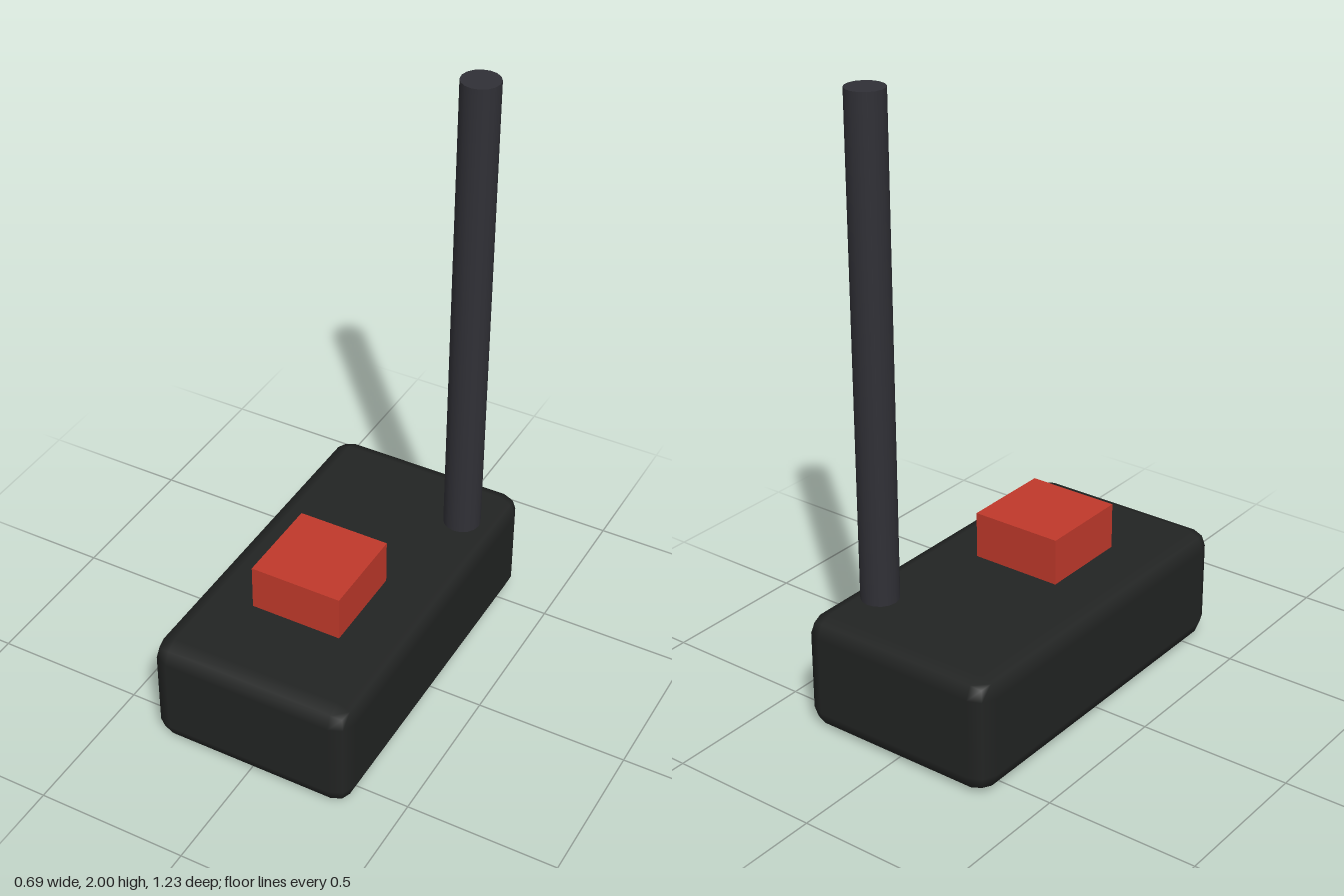
import * as THREE from 'three';
import { RoundedBoxGeometry } from 'three/addons/geometries/RoundedBoxGeometry.js';

const BODY = { width: 0.692, height: 0.385, depth: 1.23 };

function addPart(group, name, geometry, color, x, y, z) {
  const mesh = new THREE.Mesh(geometry, new THREE.MeshStandardMaterial({ color }));
  mesh.name = name;
  mesh.position.set(x, y, z);
  group.add(mesh);
}

export function createModel() {
  const group = new THREE.Group();
  group.name = 'remoteControl';

  // Casing with small bevelled edges
  addPart(group, 'body',
    new RoundedBoxGeometry(BODY.width, BODY.height, BODY.depth, 1, 0.0615),
    0x222423, 0, BODY.height / 2, 0);

  // Square push button on the top face
  const buttonHeight = 0.154;
  addPart(group, 'button',
    new THREE.BoxGeometry(0.308, buttonHeight, 0.308),
    0xc0392b, 0, BODY.height + buttonHeight / 2, 0.154);

  // Tall antenna at the back left corner
  const antennaHeight = 2 - BODY.height;
  addPart(group, 'antenna',
    new THREE.CylinderGeometry(0.0615, 0.0615, antennaHeight, 16),
    0x303036, 0.231, BODY.height + antennaHeight / 2, -0.385);

  return group;
}
